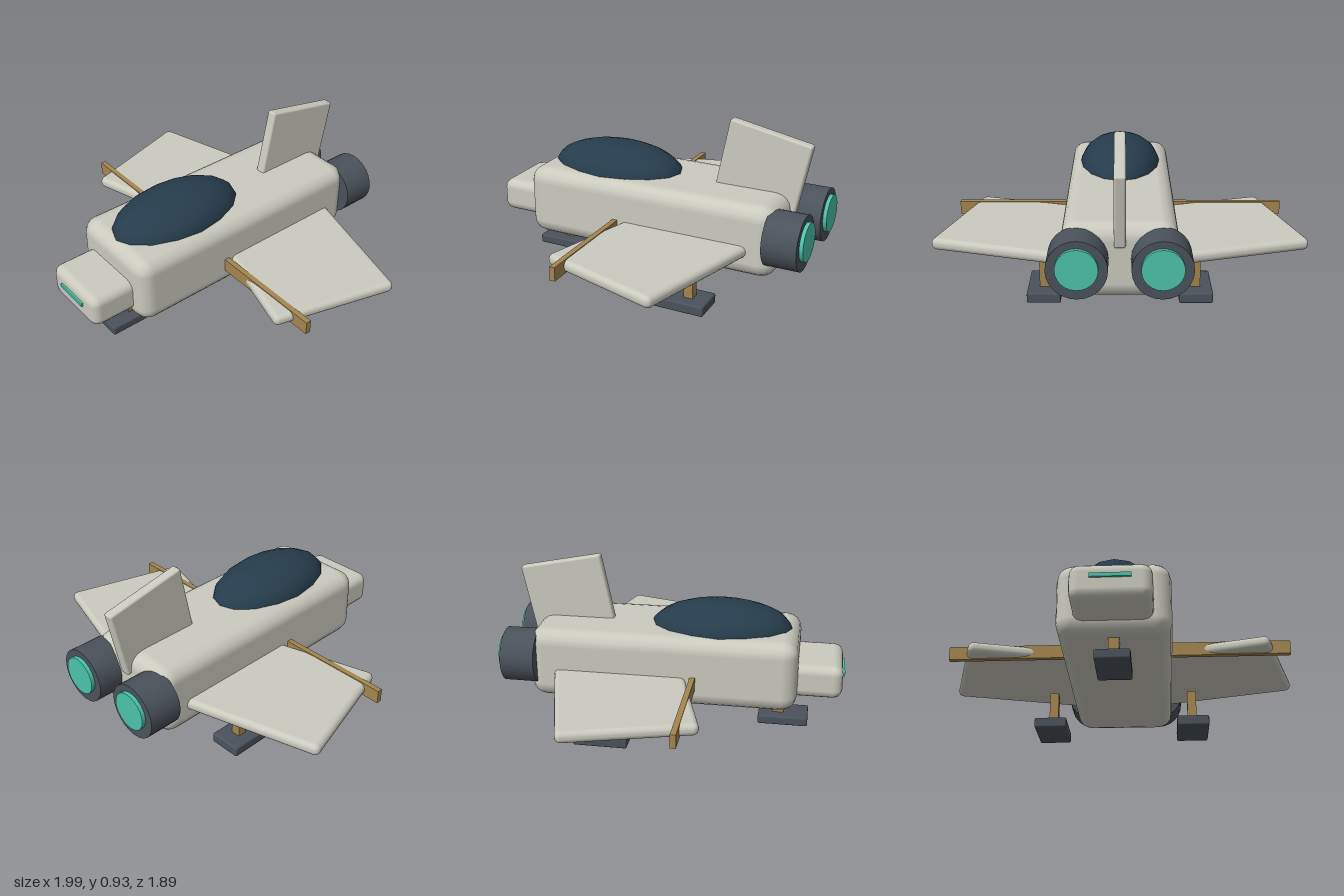
import * as THREE from 'three';
import { RoundedBoxGeometry } from 'three/addons/geometries/RoundedBoxGeometry.js';

const mat = (color) => {
  const m = new THREE.MeshStandardMaterial();
  m.color.set(color);
  return m;
};

export function createModel() {
  const model = new THREE.Group();
  const hull = mat(0xcbcabf), glass = mat(0x263c4c), metal = mat(0x4a525b);
  const wood = mat(0xa5854f), glow = mat(0x4cc4aa);

  const add = (name, geometry, material, x, y, z) => {
    const mesh = new THREE.Mesh(geometry, material);
    mesh.name = name;
    mesh.position.set(x, y, z);
    model.add(mesh);
    return mesh;
  };
  const rounded = (w, h, d, r) => new RoundedBoxGeometry(w, h, d, 2, r);
  const box = (w, h, d) => new THREE.BoxGeometry(w, h, d);
  const drum = (r, length) => new THREE.CylinderGeometry(r, r, length, 24).rotateX(Math.PI / 2);

  // Fuselage, nose and nose slot
  add('fuselage', rounded(0.58, 0.4, 1.478, 0.085), hull, 0, 0.367, -0.046);
  add('nose', rounded(0.4, 0.187, 0.4, 0.05), hull, 0, 0.325, 0.735);
  add('noseSlot', box(0.2, 0.02, 0.03), glow, 0, 0.344, 0.932);

  // Canopy
  const canopy = new THREE.SphereGeometry(1, 16, 12).scale(0.231, 0.155, 0.394);
  add('canopy', canopy, glass, 0, 0.547, 0.256);

  // Tail fin, leaning back
  const fin = add('tailFin', rounded(0.058, 0.4, 0.464, 0.012), hull, 0, 0.694, -0.617);
  fin.rotation.x = -0.197;

  // Cross bar through the wings
  add('crossBar', box(1.86, 0.075, 0.03), wood, 0, 0.315, 0.13);

  // Landing gear: a leg on a flat skid
  add('frontLeg', box(0.055, 0.2, 0.06), wood, 0, 0.14, 0.59);
  add('frontSkid', rounded(0.175, 0.052, 0.28, 0.01), metal, 0, 0.026, 0.618);

  for (const s of [1, -1]) {
    const side = s > 0 ? 'left' : 'right';

    // Forward-angled wing
    const wing = add(side + 'Wing', rounded(0.855, 0.066, 0.704, 0.03), hull, s * 0.492, 0.315, -0.214);
    wing.rotation.y = -s * 0.281;

    // Engine and its glowing exhaust
    add(side + 'Engine', drum(0.15, 0.187), metal, s * 0.205, 0.393, -0.833);
    add(side + 'Exhaust', drum(0.104, 0.04), glow, s * 0.205, 0.403, -0.927);

    // Rear landing gear
    add(side + 'RearLeg', box(0.052, 0.213, 0.051), wood, s * 0.405, 0.157, -0.381);
    add(side + 'RearSkid', rounded(0.181, 0.058, 0.295, 0.01), metal, s * 0.405, 0.029, -0.343);
  }
  return model;
}
